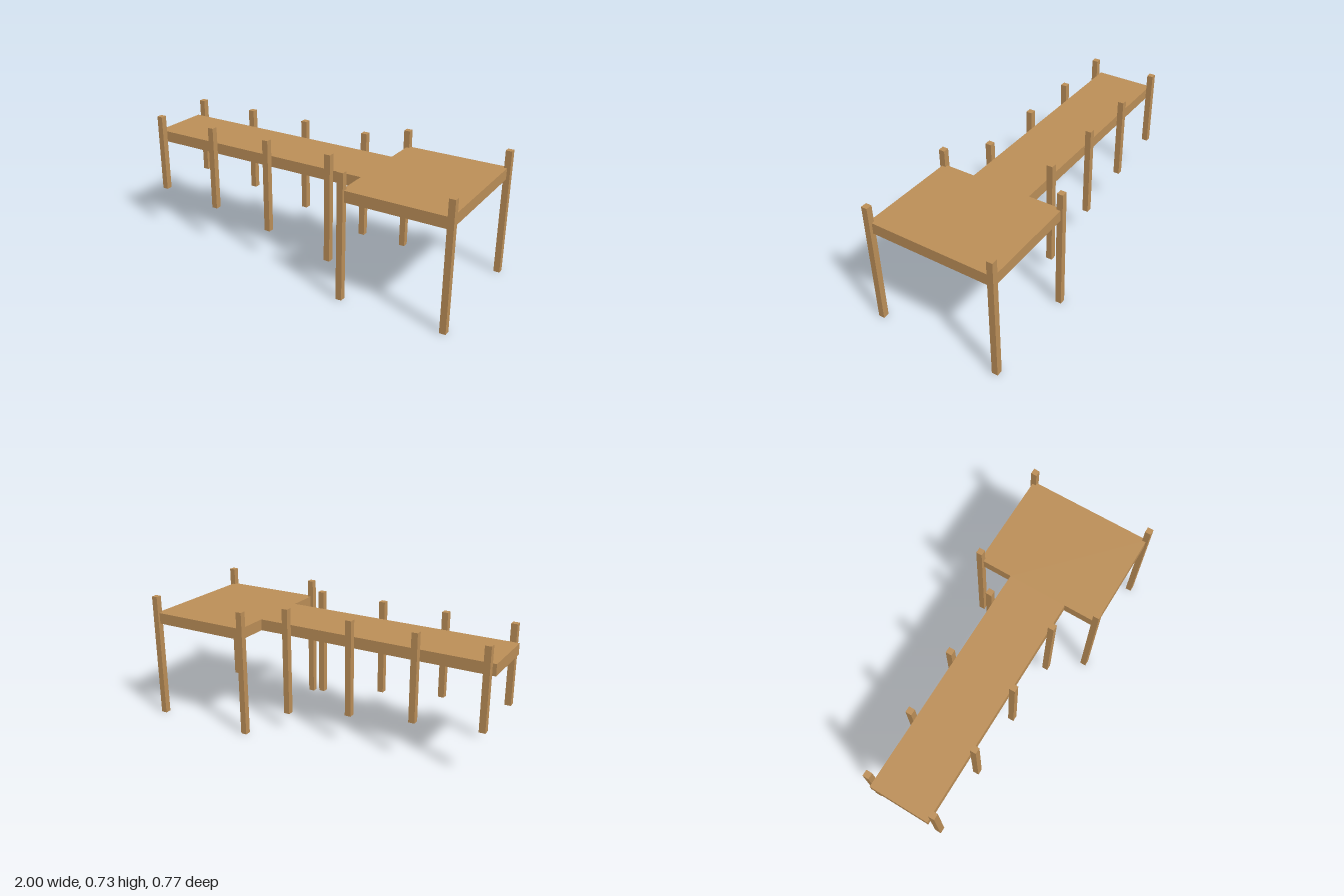
import * as THREE from 'three';

export function createModel() {
  const model = new THREE.Group();
  model.name = 'pier';
  const wood = new THREE.MeshStandardMaterial({ color: 0xbc8f58 });
  wood.name = 'wood';

  const deckBottom = 0.563, deckTop = 0.627, postTop = 0.725, postWidth = 0.035;

  // T-shaped deck: narrow walkway joined to a wide platform
  const outline = [
    [-1, -0.174], [0.385, -0.174], [0.385, -0.372], [0.98, -0.372],
    [0.98, 0.372], [0.385, 0.372], [0.385, 0.174], [-1, 0.174],
  ].map(([x, z]) => new THREE.Vector2(x, z));
  const deckGeometry = new THREE.ExtrudeGeometry(new THREE.Shape(outline), {
    depth: deckTop - deckBottom, bevelEnabled: false,
  });
  deckGeometry.rotateX(-Math.PI / 2);
  const deck = new THREE.Mesh(deckGeometry, wood);
  deck.name = 'deck';
  deck.position.y = deckBottom;
  model.add(deck);

  // A mirrored pair of square posts, front and back
  function addPostPair(name, x, z, bottom) {
    const height = postTop - bottom;
    for (const side of [1, -1]) {
      const post = new THREE.Mesh(new THREE.BoxGeometry(postWidth, height, postWidth), wood);
      post.name = name + (side > 0 ? 'Front' : 'Back');
      post.position.set(x, bottom + height / 2, side * z);
      model.add(post);
    }
  }

  // Walkway posts reach deeper towards the platform
  [[-0.963, 0.265], [-0.578, 0.228], [-0.197, 0.178], [0.203, 0.1]].forEach(
    ([x, bottom], i) => addPostPair(`walkwayPost${i + 1}`, x, 0.194, bottom));

  // Platform corner posts
  [0.385, 0.9805].forEach((x, i) => addPostPair(`platformPost${i + 1}`, x, 0.3675, 0));

  return model;
}
